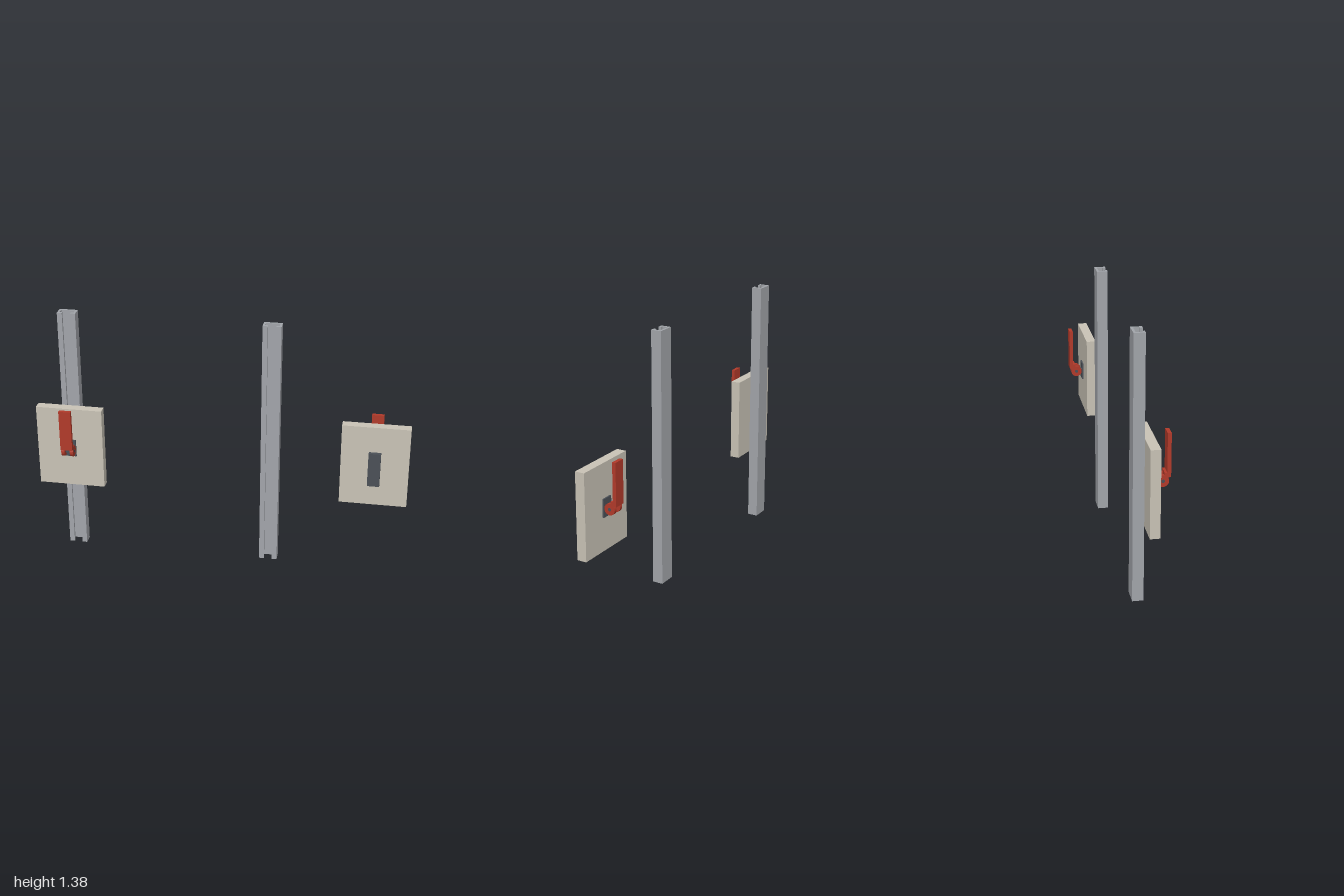
import * as THREE from 'three';

const mat = (name, color) => Object.assign(new THREE.MeshStandardMaterial({ color }), { name });

export function createModel() {
  const aluminium = mat('rail grey', 0xa2a5aa);
  const board = mat('board beige', 0xc9c3b6);
  const red = mat('lever red', 0xb23a2a);
  const steel = mat('dark steel', 0x4b5057);

  const add = (parent, name, geometry, material, x = 0, y = 0, z = 0) => {
    const mesh = new THREE.Mesh(geometry, material);
    mesh.name = name;
    mesh.position.set(x, y, z);
    parent.add(mesh);
    return mesh;
  };
  const box = (parent, name, material, w, y0, y1, z0, z1, x = 0) =>
    add(parent, name, new THREE.BoxGeometry(w, y1 - y0, z1 - z0), material, x, (y0 + y1) / 2, (z0 + z1) / 2);

  // C-shaped rail section, open towards +z; shape y maps to -z
  function makeRail(x) {
    const half = [[0.022, 0], [0.049, 0], [0.049, 0.057], [-0.049, 0.057], [-0.049, 0],
      [-0.022, 0], [-0.022, 0.014], [-0.037, 0.014], [-0.037, 0.045], [0.037, 0.045],
      [0.037, 0.014], [0.022, 0.014]];
    const shape = new THREE.Shape(half.map(([px, py]) => new THREE.Vector2(px, py)));
    const geometry = new THREE.ExtrudeGeometry(shape, { depth: 1.38, bevelEnabled: false });
    geometry.rotateX(-Math.PI / 2);
    return add(new THREE.Group(), 'rail', geometry, aluminium, x);
  }

  // Board with a cam lever on its front and a clamping nut behind it
  function makeClampedBoard() {
    const group = new THREE.Group();
    const axisY = 0.626, axisZ = 0.093;
    box(group, 'board', board, 0.36, 0.398, 0.853, 0.002, 0.053);
    box(group, 'clampNut', steel, 0.065, 0.53, 0.721, -0.042, -0.021);
    box(group, 'washerPlate', steel, 0.065, 0.576, 0.672, 0.053, 0.061);

    // Bolt from the nut to the cam axle
    const bolt = add(group, 'bolt', new THREE.CylinderGeometry(0.013, 0.013, 0.145, 24), steel, 0, axisY, 0.0305);
    bolt.rotation.x = Math.PI / 2;
    const axle = add(group, 'axle', new THREE.CylinderGeometry(0.009, 0.009, 0.067, 20), steel, 0, axisY, axisZ);
    axle.rotation.z = Math.PI / 2;

    // Lever: two cam cheeks, a short neck and an upright handle
    const lever = new THREE.Group();
    lever.name = 'camLever';
    for (const side of [-1, 1]) {
      const cheek = add(lever, 'camCheek', new THREE.CylinderGeometry(0.03, 0.03, 0.017, 32), red,
        side * 0.0235, axisY, axisZ);
      cheek.rotation.z = Math.PI / 2;
      box(lever, 'neck', red, 0.017, 0.636, 0.669, 0.1, 0.116, side * 0.0235);
    }
    box(lever, 'neckBridge', red, 0.032, 0.647, 0.669, 0.101, 0.116);
    box(lever, 'handle', red, 0.065, 0.645, 0.872, 0.113, 0.132);
    group.add(lever);
    return group;
  }

  const model = new THREE.Group();
  model.name = 'clampedRailSystem';
  model.add(makeRail(-0.82), makeRail(0.261));

  // Board clamped on the rail
  const mounted = makeClampedBoard();
  mounted.name = 'mountedBoard';
  mounted.position.x = -0.82;
  model.add(mounted);

  // Loose board, turned to show its nut
  const loose = makeClampedBoard();
  loose.name = 'looseBoard';
  loose.position.x = 0.818;
  loose.rotation.y = Math.PI;
  model.add(loose);

  return model;
}
